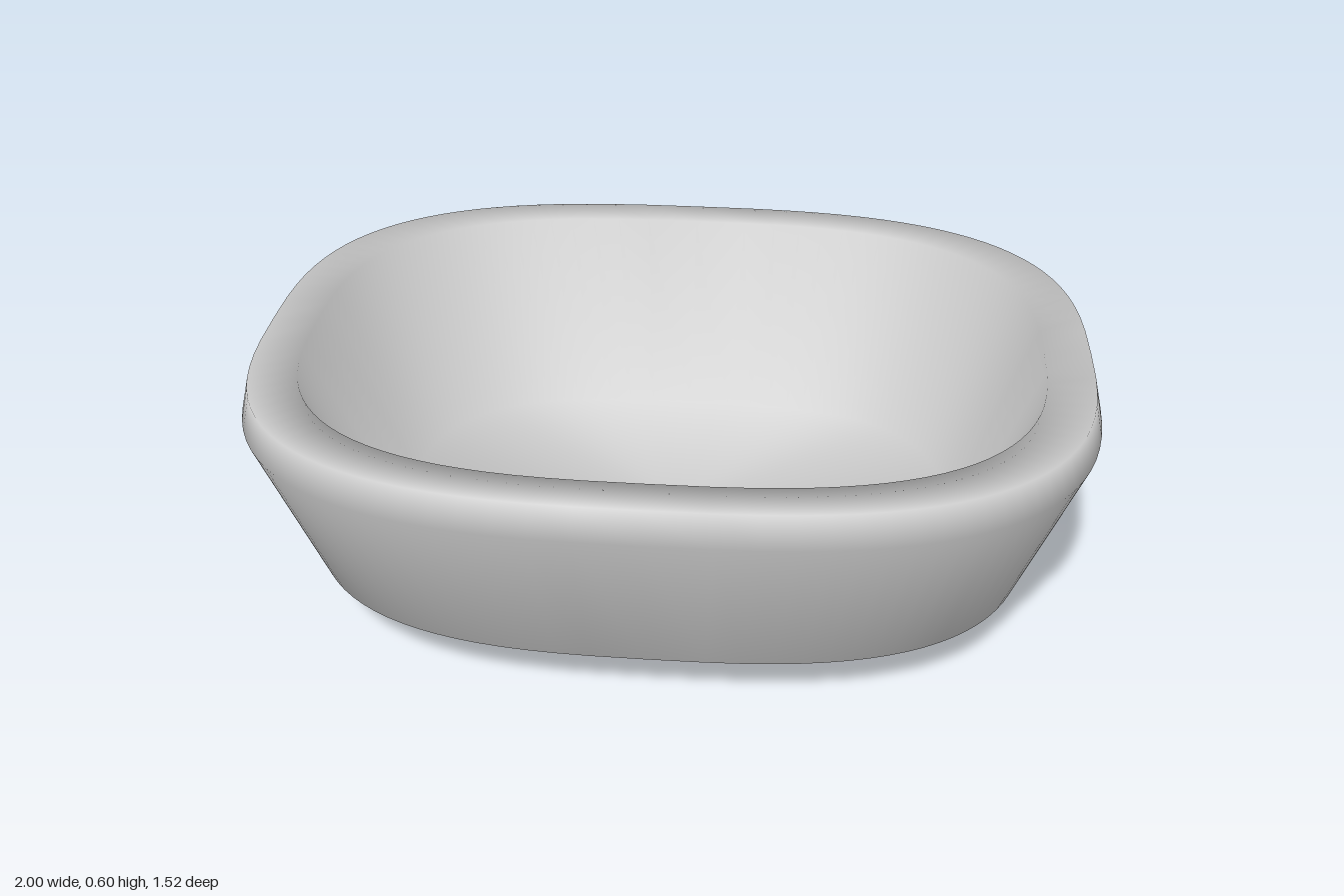
import * as THREE from 'three';

const SIDES = 96;
const ROUNDNESS = 2.87; // superellipse exponent of the rounded-rectangle plan

// Superellipse point with half sizes rx and rz
function planPoint(angle, rx, rz) {
  const bend = (v) => Math.sign(v) * Math.pow(Math.abs(v), 2 / ROUNDNESS);
  return [rx * bend(Math.cos(angle)), rz * bend(Math.sin(angle))];
}

// Smooth skin through a stack of [halfWidth, halfDepth, height] rings
function skin(rings) {
  const positions = [];
  const indices = [];
  rings.forEach(([rx, rz, y], r) => {
    for (let j = 0; j < SIDES; j++) {
      const [x, z] = planPoint((j / SIDES) * Math.PI * 2, rx, rz);
      positions.push(x, y, z);
      if (r === rings.length - 1) continue;
      const next = (j + 1) % SIDES;
      const a = r * SIDES + j, b = r * SIDES + next;
      const c = a + SIDES, d = b + SIDES;
      if (rings[r + 1][0] > 0) indices.push(a, c, d);
      if (rx > 0) indices.push(a, d, b);
    }
  });
  // Close the floor fan, whose last ring is a single point
  const last = (rings.length - 2) * SIDES;
  for (let j = 0; j < SIDES; j++) indices.push(last + j, last + SIDES + j, last + ((j + 1) % SIDES));
  const geometry = new THREE.BufferGeometry();
  geometry.setAttribute('position', new THREE.Float32BufferAttribute(positions, 3));
  geometry.setIndex(indices.slice(0, indices.length - SIDES * 3));
  geometry.computeVertexNormals();
  return geometry;
}

export function createModel() {
  const group = new THREE.Group();
  group.name = 'basin';
  const grey = new THREE.MeshStandardMaterial({ color: 0xc8c8c8 });
  grey.name = 'light grey';

  // Closed shell: underside, outer wall, rim, inner wall and floor
  const shell = new THREE.Mesh(skin([
    [0, 0, 0],
    [0.62, 0.458, 0],
    [0.86, 0.655, 0.14],
    [1, 0.761, 0.52],
    [0.98, 0.748, 0.6],
    [0.87, 0.649, 0.6],
    [0.68, 0.49, 0.13],
    [0, 0, 0.1],
  ]), grey);
  shell.name = 'basinShell';
  group.add(shell);
  return group;
}
